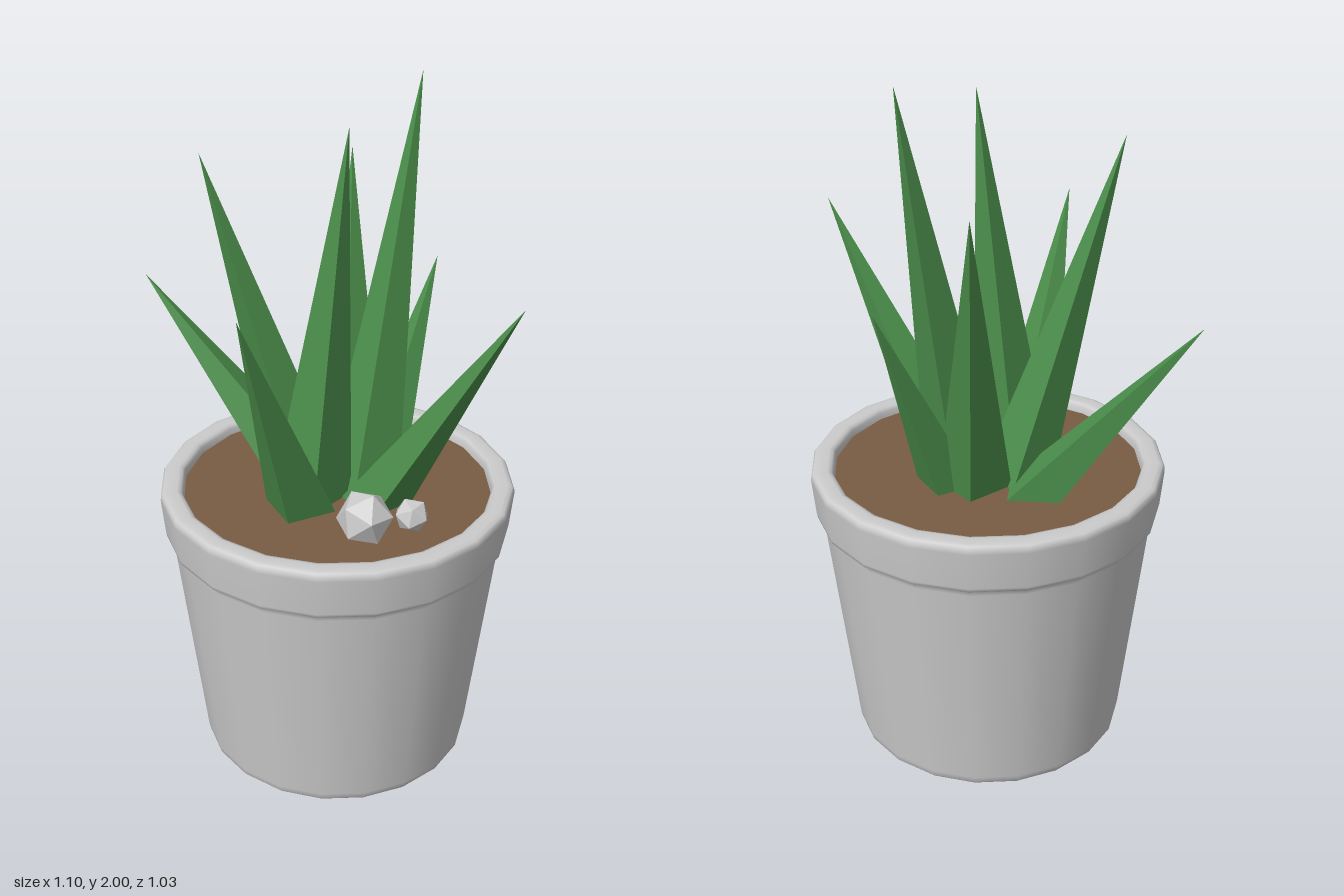
import * as THREE from 'three';

const POT_X = 0.035;
const SOIL_Y = 0.85;

const mat = (color, flatShading = false) => new THREE.MeshStandardMaterial({ color, flatShading });

function addMesh(parent, name, geometry, material, x = 0, y = 0, z = 0) {
  const mesh = new THREE.Mesh(geometry, material);
  mesh.name = name;
  mesh.position.set(x, y, z);
  parent.add(mesh);
  return mesh;
}

// Four-sided spike: a cone on a level base whose tip is pulled sideways
function leafGeometry([bx, bz], [tx, ty, tz], radius, yaw) {
  const baseY = 0.82;
  const height = ty - baseY;
  const geo = new THREE.ConeGeometry(radius, height, 4);
  geo.rotateY(-yaw);
  geo.translate(0, height / 2, 0);
  const pos = geo.attributes.position;
  for (let i = 0; i < pos.count; i++) {
    const t = pos.getY(i) / height;
    pos.setXYZ(i,
      pos.getX(i) + bx + (tx - bx) * t,
      pos.getY(i) + baseY,
      pos.getZ(i) + bz + (tz - bz) * t);
  }
  geo.computeVertexNormals();
  return geo;
}

export function createModel() {
  const model = new THREE.Group();
  model.name = 'pottedPlant';
  const grey = mat(0xcccccc);
  const stone = mat(0xcccccc, true);
  const green = mat(0x4c8f4c, true);

  // Pot: tapered wall, overhanging rim and small bevels, turned in 20 sides
  const profile = [
    [0, 0], [0.385, 0], [0.395, 0.002], [0.404, 0.012], [0.407, 0.03],
    [0.482, 0.71], [0.484, 0.728],
    [0.494, 0.73], [0.501, 0.735], [0.503, 0.745],
    [0.513, 0.855], [0.512, 0.868], [0.506, 0.876], [0.494, 0.88],
    [0.466, 0.88], [0.455, 0.877], [0.449, 0.868], [0.446, 0.85], [0.44, 0.8],
  ].map(([r, y]) => new THREE.Vector2(r, y));
  addMesh(model, 'pot', new THREE.LatheGeometry(profile, 20), grey, POT_X);

  // Soil disc just below the rim
  const soil = new THREE.CircleGeometry(0.447, 20);
  soil.rotateX(-Math.PI / 2);
  addMesh(model, 'soil', soil, mat(0x7a5c44), POT_X, SOIL_Y);

  // Leaves: base centre (x, z), tip (x, y, z), base radius, turn of the base in degrees
  const leaves = new THREE.Group();
  leaves.name = 'leaves';
  model.add(leaves);
  [
    [[-0.09, -0.13], [-0.55, 1.39, -0.22], 0.11, 45],
    [[-0.045, -0.045], [-0.33, 1.83, 0.01], 0.108, 0],
    [[-0.05, 0.115], [-0.165, 1.55, 0.445], 0.108, 12],
    [[0.14, 0.06], [0.53, 1.55, 0.29], 0.105, 0],
    [[0.06, -0.11], [0.03, 1.73, -0.43], 0.108, 0],
    [[0.13, -0.1], [0.29, 1.44, -0.34], 0.095, 10],
    [[0.1, -0.02], [0.235, 2.0, -0.24], 0.115, 5],
    [[-0.035, 0.06], [0.07, 1.93, 0.08], 0.118, -10],
  ].forEach(([base, tip, radius, turn], i) => {
    const geo = leafGeometry(base, tip, radius, THREE.MathUtils.degToRad(turn));
    addMesh(leaves, `leaf${i + 1}`, geo, green);
  });

  // Two pebbles resting on the soil
  const large = addMesh(model, 'largePebble', new THREE.IcosahedronGeometry(0.08, 0), stone, 0.14, 0.917, 0.28);
  large.rotation.set(0.3, 0.5, 0.2);
  const small = addMesh(model, 'smallPebble', new THREE.IcosahedronGeometry(0.05, 0), stone, 0.265, 0.9, 0.225);
  small.rotation.set(0.8, 0.2, 0.5);

  return model;
}
